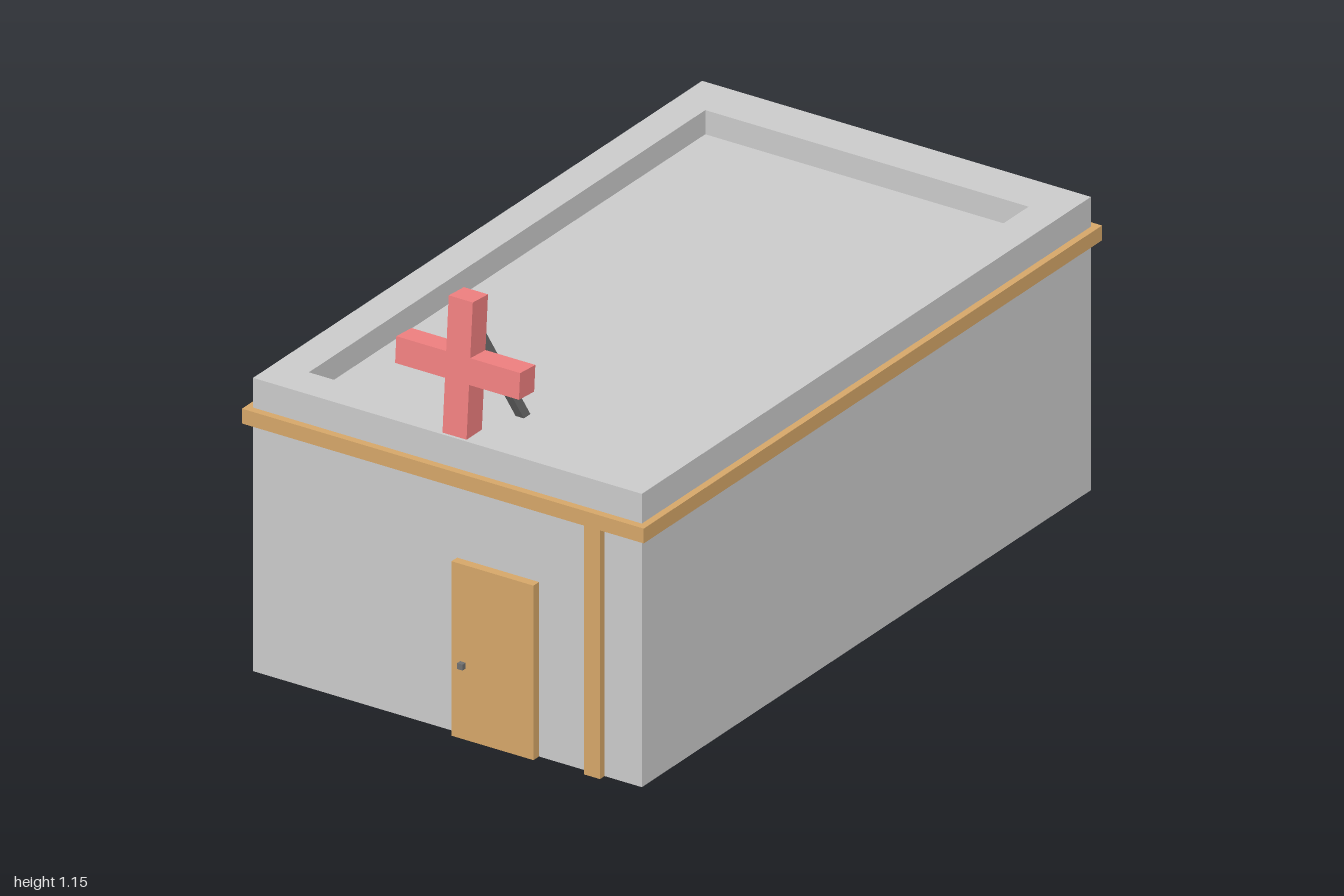
import * as THREE from 'three';

const material = (color, side = THREE.FrontSide) =>
  new THREE.MeshStandardMaterial({ color, side, flatShading: true });
const grey = material(0xcccccc, THREE.DoubleSide);
const wood = material(0xd6a769);
const red = material(0xf08080);
const dark = material(0x707070);

function add(parent, name, geometry, mat) {
  const mesh = new THREE.Mesh(geometry, mat);
  mesh.name = name;
  parent.add(mesh);
  return mesh;
}

// Box given by its minimum and maximum corners
function box(parent, name, mat, [x0, y0, z0], [x1, y1, z1]) {
  const mesh = add(parent, name, new THREE.BoxGeometry(x1 - x0, y1 - y0, z1 - z0), mat);
  mesh.position.set((x0 + x1) / 2, (y0 + y1) / 2, (z0 + z1) / 2);
  return mesh;
}

// Sheet through a series of rectangles [half width, y, z back, z front], closed by the last one
function rectangleSheet(rings) {
  const positions = [], index = [];
  for (const [w, y, z0, z1] of rings) {
    positions.push(-w, y, z1, w, y, z1, w, y, z0, -w, y, z0);
  }
  for (let r = 0; r < rings.length - 1; r++) {
    for (let i = 0; i < 4; i++) {
      const a = r * 4 + i, b = r * 4 + (i + 1) % 4;
      index.push(a, b, b + 4, a, b + 4, a + 4);
    }
  }
  const e = (rings.length - 1) * 4;
  index.push(e, e + 1, e + 2, e, e + 2, e + 3);
  const geometry = new THREE.BufferGeometry();
  geometry.setAttribute('position', new THREE.Float32BufferAttribute(positions, 3));
  geometry.setIndex(index);
  const flat = geometry.toNonIndexed();
  flat.computeVertexNormals();
  return flat;
}

export function createModel() {
  const model = new THREE.Group();
  model.name = 'building';

  // Walls, parapet and sunken roof, open underneath
  add(model, 'wallsAndRoof', rectangleSheet([
    [0.565, 0, -0.98, 0.963],
    [0.565, 0.79, -0.98, 0.963],
    [0.47, 0.79, -0.852, 0.863],
    [0.47, 0.725, -0.852, 0.863],
  ]), grey);

  // Trim band around the walls
  const rectangle = (Type, w, z0, z1) => new Type([
    new THREE.Vector2(-w, -z1), new THREE.Vector2(w, -z1),
    new THREE.Vector2(w, -z0), new THREE.Vector2(-w, -z0),
  ]);
  const band = rectangle(THREE.Shape, 0.584, -1, 0.983);
  band.holes.push(rectangle(THREE.Path, 0.55, -0.965, 0.948));
  const trim = new THREE.ExtrudeGeometry(band, { depth: 0.04, bevelEnabled: false });
  trim.rotateX(-Math.PI / 2);
  add(model, 'trimBand', trim, wood).position.y = 0.67;

  // Front: post, door and handle
  box(model, 'post', wood, [0.41, 0, 0.963], [0.457, 0.67, 0.983]);
  box(model, 'door', wood, [0.028, 0, 0.945], [0.266, 0.47, 0.987]);
  box(model, 'doorHandle', dark, [0.053, 0.192, 0.942], [0.069, 0.208, 1]);

  // Cross leaning back over the front parapet
  const cross = new THREE.Group();
  cross.name = 'roofCross';
  cross.position.set(0.015, 0.785, 0.922);
  cross.rotation.x = -0.075;
  model.add(cross);
  const d = 0.033;
  box(cross, 'crossUpright', red, [-0.035, 0, -d], [0.035, 0.362, d]);
  for (const side of [-1, 1]) {
    const arm = box(cross, 'crossArm', red, [0.035, 0.146, -d], [0.18, 0.216, d]);
    arm.position.x *= side;
  }

  // Strut holding the cross from behind
  const foot = new THREE.Vector3(0.015, 0.715, 0.652);
  const head = new THREE.Vector3(0.015, 1.06, 0.874);
  const strut = add(model, 'strut', new THREE.BoxGeometry(0.024, 0.024, foot.distanceTo(head)), dark);
  strut.position.copy(foot).lerp(head, 0.5);
  strut.lookAt(head);

  return model;
}
